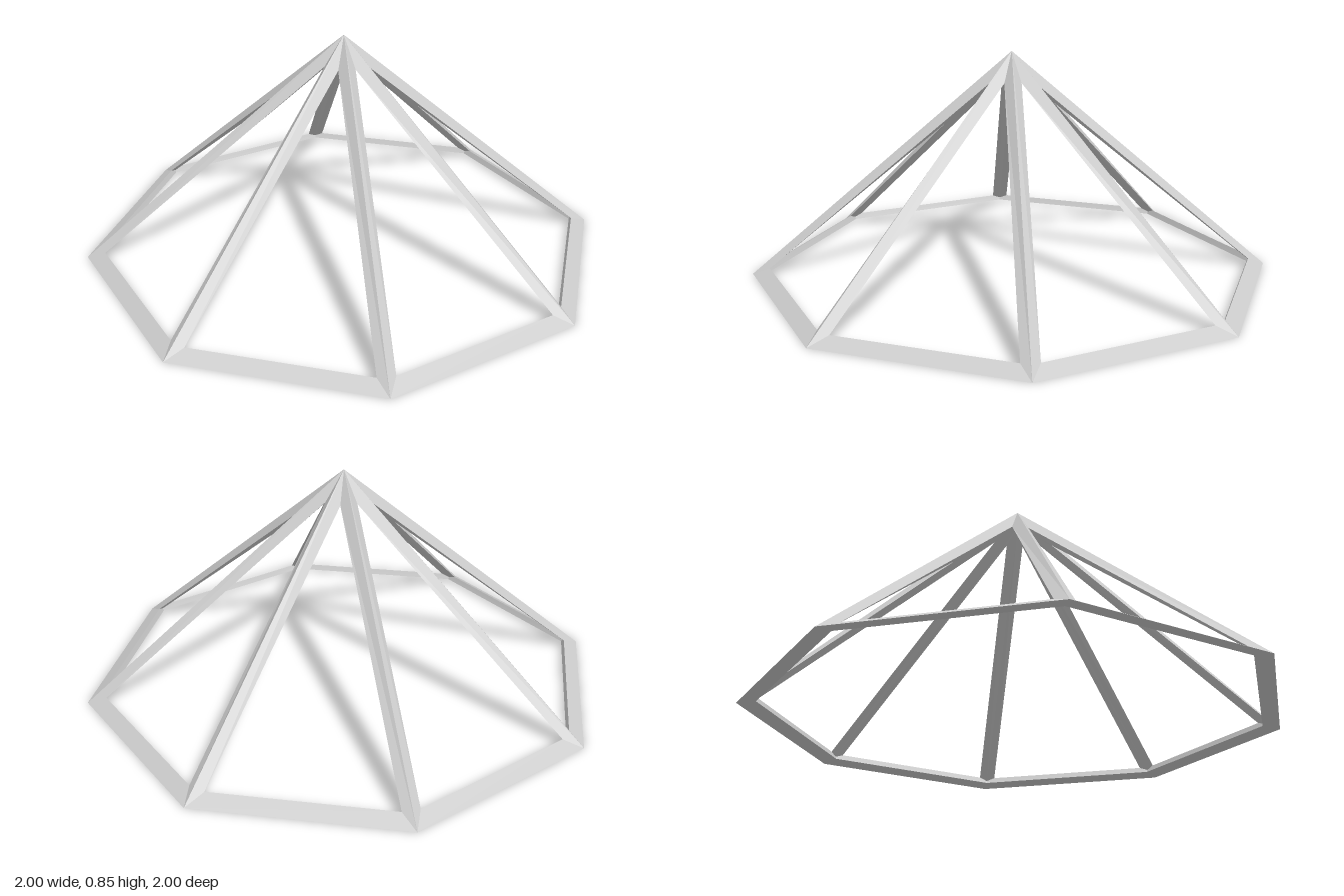
import * as THREE from 'three';

const SIDES = 8;
const RADIUS = 0.968;   // corner radius of the pyramid the bars follow
const BASE_Y = 0.01;
const APEX_Y = 0.822;
const HALF = 0.033;     // half thickness of a bar

const material = new THREE.MeshStandardMaterial({ color: 0xcccccc, flatShading: true });

// Corner k of the base octagon
function corner(k) {
  const a = (k * 2 * Math.PI) / SIDES;
  return new THREE.Vector3(RADIUS * Math.sin(a), BASE_Y, RADIUS * Math.cos(a));
}

// Move corner v into its face by HALF from both adjoining edges
function inset(v, prev, next) {
  const u = next.clone().sub(v).normalize();
  const w = prev.clone().sub(v).normalize();
  const step = HALF / Math.sin(u.angleTo(w));
  return v.clone().addScaledVector(u, step).addScaledVector(w, step);
}

// Four-sided bar skinned between two sections [outer, face, inner, face]
function bar(name, a, b) {
  const points = [];
  for (let j = 0; j < 4; j++) {
    const n = (j + 1) % 4;
    points.push(a[j], b[j], b[n], a[j], b[n], a[n]);
  }
  const geometry = new THREE.BufferGeometry().setFromPoints(points);
  geometry.computeVertexNormals();
  const mesh = new THREE.Mesh(geometry, material);
  mesh.name = name;
  return mesh;
}

export function createModel() {
  const model = new THREE.Group();
  model.name = 'pyramidFrame';
  const rails = new THREE.Group();
  rails.name = 'baseRails';
  const ribs = new THREE.Group();
  ribs.name = 'ribs';
  model.add(rails, ribs);

  const apex = new THREE.Vector3(0, APEX_Y, 0);
  const apexOuter = new THREE.Vector3(0, APEX_Y + HALF, 0);
  const apexInner = new THREE.Vector3(0, APEX_Y - HALF, 0);

  // Corner pushed out (s = 1) or in (s = -1) along its averaged normal
  const shifted = (k, s) => {
    const p = corner(k);
    const normal = new THREE.Vector3(p.x, 0, p.z).normalize().multiplyScalar(0.957);
    normal.y = -0.29;
    return p.addScaledVector(normal, s * HALF);
  };
  // Opening corners of sloping face k, and of the base
  const faceStart = (k) => inset(corner(k), apex, corner(k + 1));
  const faceEnd = (k) => inset(corner(k + 1), corner(k), apex);
  const faceTop = (k) => inset(apex, corner(k + 1), corner(k));
  const baseInset = (k) => inset(corner(k), corner(k - 1), corner(k + 1));

  for (let k = 0; k < SIDES; k++) {
    // Rail along one side of the base
    rails.add(bar('baseRail',
      [shifted(k, 1), faceStart(k), shifted(k, -1), baseInset(k)],
      [shifted(k + 1, 1), faceEnd(k), shifted(k + 1, -1), baseInset(k + 1)]));
    // Rib from the base corner to the apex
    ribs.add(bar('rib',
      [shifted(k, 1), faceEnd(k - 1), shifted(k, -1), faceStart(k)],
      [apexOuter, faceTop(k - 1), apexInner, faceTop(k)]));
  }
  return model;
}
